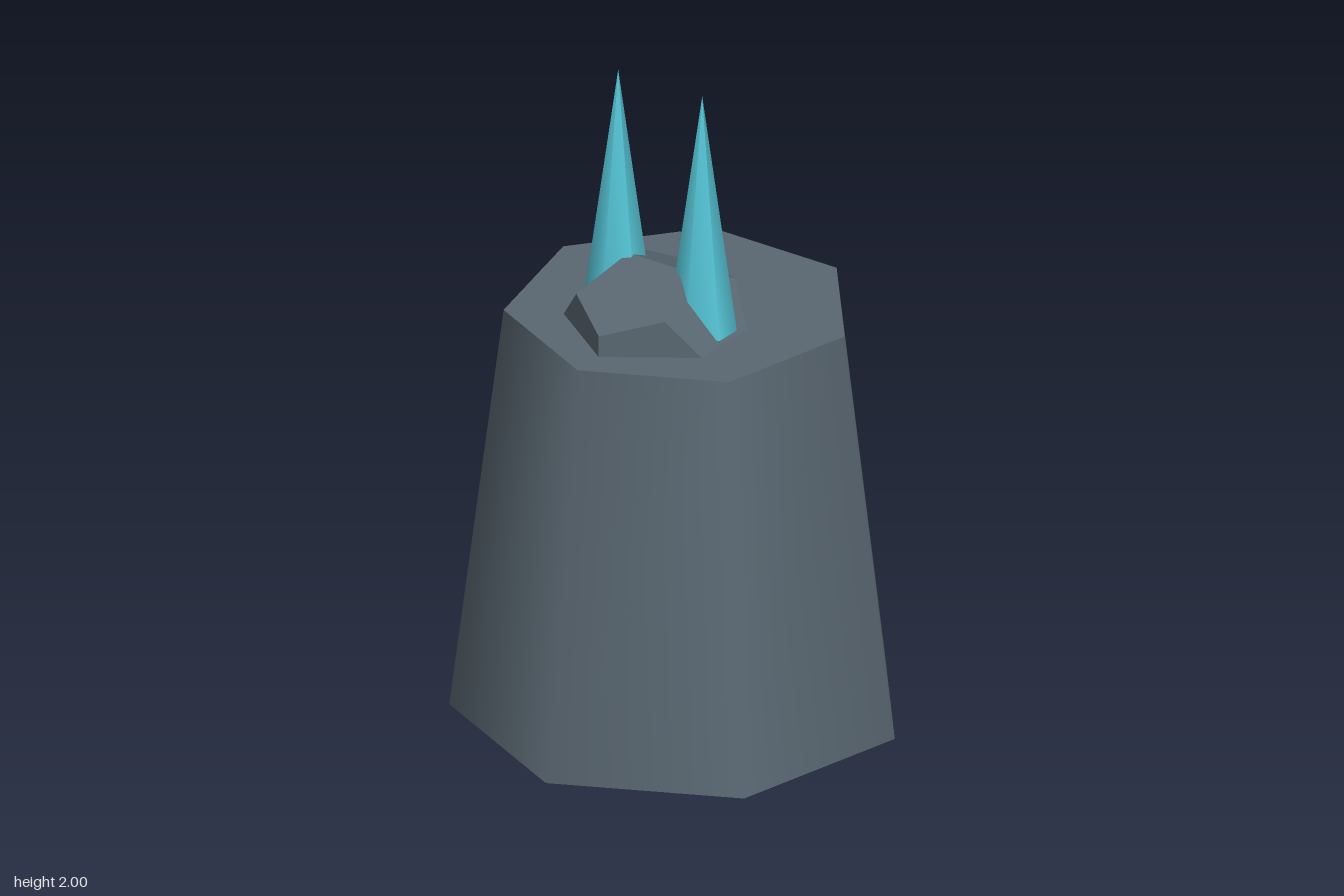
import * as THREE from 'three';

export function createModel() {
  const group = new THREE.Group();
  const slate = new THREE.MeshStandardMaterial({ color: 0x5a6872 });
  slate.name = 'slate';
  // same slate colour, faceted for the low-poly dome
  const slateFaceted = slate.clone();
  slateFaceted.name = 'slate faceted';
  slateFaceted.flatShading = true;
  const cyan = new THREE.MeshStandardMaterial({ color: 0x55c5d6 });
  cyan.name = 'cyan';

  const add = (name, geometry, material, x, y, z) => {
    const mesh = new THREE.Mesh(geometry, material);
    mesh.name = name;
    mesh.position.set(x, y, z);
    group.add(mesh);
    return mesh;
  };

  // Seven-sided tapered body with one corner at the front
  add('body', new THREE.CylinderGeometry(0.505, 0.66, 1.25, 7), slate, 0, 0.625, -0.035);

  // Squashed dodecahedron half sunk into the top
  add('dome', new THREE.DodecahedronGeometry(1).scale(0.268, 0.217, 0.298),
    slateFaceted, 0, 1.238, 0.088);

  // Pair of slim six-sided spikes, flattened front to back
  const height = 0.735;
  for (const side of [-1, 1]) {
    const name = side > 0 ? 'leftSpike' : 'rightSpike';
    add(name, new THREE.ConeGeometry(0.105, height, 6).scale(1, 1, 0.8),
      cyan, side * 0.147, 2 - height / 2, 0.066);
  }
  return group;
}
